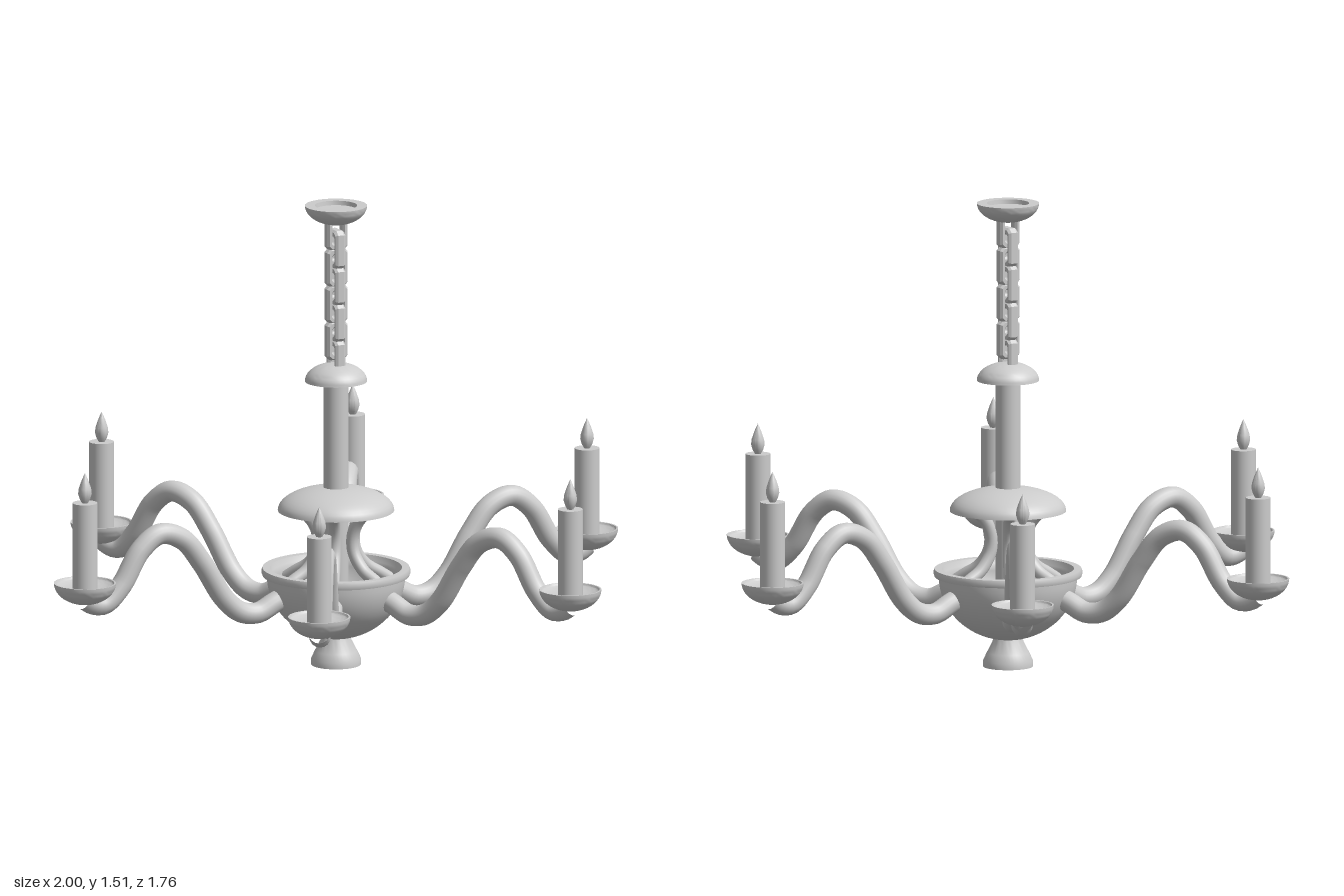
import * as THREE from 'three';
import { toCreasedNormals } from 'three/addons/utils/BufferGeometryUtils.js';

const metal = new THREE.MeshStandardMaterial({ color: 0xcccccc });
metal.name = 'pale grey metal';

const ARMS = 6;

function part(name, geometry, parent) {
  const mesh = new THREE.Mesh(geometry, metal);
  mesh.name = name;
  parent.add(mesh);
  return mesh;
}

// Turned part from [radius, height] pairs, kept sharp at its corners
function turned(points, segments = 40) {
  const profile = points.map(([r, y]) => new THREE.Vector2(r, y));
  return toCreasedNormals(new THREE.LatheGeometry(profile, segments), 0.7);
}

// Quarter ellipse of [radius, height] pairs between two angles
function arc(radius, height, y, from, to, steps = 12) {
  return Array.from({ length: steps + 1 }, (_, i) => {
    const a = from + (to - from) * i / steps;
    return [Math.max(0, radius * Math.cos(a)), y + height * Math.sin(a)];
  });
}

const Q = Math.PI / 2;

// Cup opening upwards with a shallower hollow, rim at height y
const cup = (r, h, y, innerR, innerH) => turned([
  ...arc(r, h, y, -Q, 0), ...arc(innerR, innerH, y, 0, -Q)]);

// Hollow dome opening downwards, rim at height y
const dome = (r, h, y, wall) => turned([
  ...arc(r - wall, h - wall, y, Q, 0), ...arc(r, h, y, 0, Q)]);

// Smooth round bar through [radius, height] pairs in the x-y plane
function bar(points, radius, segments, sides) {
  const curve = new THREE.CatmullRomCurve3(points.map(([x, y]) => new THREE.Vector3(x, y, 0)));
  return new THREE.TubeGeometry(curve, segments, radius, sides);
}

// Oblong outline with cut corners
function oblong(PathType, w, h, cut) {
  return new PathType([[w, cut - h], [w, h - cut], [w - cut, h], [cut - w, h],
    [-w, h - cut], [-w, cut - h], [cut - w, -h], [w - cut, -h]]
    .map(([x, y]) => new THREE.Vector2(x, y)));
}

// Chunky chain link with an open middle
function chainLink() {
  const outline = oblong(THREE.Shape, 0.037, 0.063, 0.013);
  outline.holes.push(oblong(THREE.Path, 0.018, 0.042, 0.006));
  return new THREE.ExtrudeGeometry(outline, {
    depth: 0.02, bevelEnabled: true, bevelThickness: 0.008, bevelSize: 0.006,
    bevelOffset: -0.006, bevelSegments: 1,
  }).translate(0, 0, -0.01);
}

export function createModel() {
  const model = new THREE.Group();
  model.name = 'chandelier';

  // Central body
  part('finial', turned([[0, 0], [0.08, 0], [0.08, 0.02], [0.068, 0.045],
    [0.05, 0.08], [0.042, 0.11], [0, 0.11]]), model);
  part('bowl', turned([...arc(0.222, 0.205, 0.292, -Q, 0, 18),
    [0.236, 0.294], [0.24, 0.306], [0.236, 0.318], [0.212, 0.318], [0.205, 0.3],
    ...arc(0.2, 0.175, 0.292, 0, -Q, 18)], 48), model);
  part('lowerDome', dome(0.187, 0.078, 0.506, 0.016), model);
  const stem = part('stem', new THREE.CylinderGeometry(0.04, 0.04, 0.85, 32), model);
  stem.position.y = 0.535;
  part('stemCap', dome(0.1, 0.06, 0.93, 0.012), model);

  // Curved ribs between bowl and dome
  const ribShape = bar([[0.19, 0.265], [0.155, 0.288], [0.105, 0.32], [0.07, 0.37],
    [0.063, 0.415], [0.075, 0.46], [0.105, 0.5], [0.145, 0.525]], 0.02, 32, 12);

  // Arms with dishes, candles and flames
  const armShape = bar([[0.195, 0.235], [0.225, 0.222], [0.28, 0.197], [0.34, 0.205],
    [0.4, 0.255], [0.48, 0.38], [0.55, 0.465], [0.63, 0.491], [0.7, 0.445],
    [0.77, 0.335], [0.83, 0.281], [0.87, 0.284], [0.9, 0.302]], 0.034, 72, 16);
  const dishShape = cup(0.1, 0.07, 0.357, 0.094, 0.022);
  const candleShape = new THREE.CylinderGeometry(0.04, 0.04, 0.3, 28);
  const flameShape = turned([[0, 0.615], [0.009, 0.618], [0.017, 0.633], [0.022, 0.65],
    [0.02, 0.667], [0.013, 0.688], [0.006, 0.705], [0, 0.718]], 16);

  for (let i = 0; i < ARMS; i++) {
    const branch = new THREE.Group();
    branch.name = 'branch' + (i + 1);
    branch.rotation.y = i * Math.PI * 2 / ARMS;
    part('rib', ribShape, branch);
    part('arm', armShape, branch);
    part('dish', dishShape, branch).position.x = 0.9;
    part('candle', candleShape, branch).position.set(0.9, 0.47, 0);
    part('flame', flameShape, branch).position.x = 0.9;
    model.add(branch);
  }

  // Chain of links turned alternately, and the ceiling cup
  const linkShape = chainLink();
  for (let i = 0; i < 8; i++) {
    const link = part('chainLink', linkShape, model);
    link.position.y = 1.005 + i * 0.06;
    link.rotation.y = i % 2 ? 0 : Q;
  }
  part('ceilingCup', turned([...arc(0.1, 0.062, 1.507, -Q, 0),
    [0.068, 1.507], [0.066, 1.493], [0, 1.491]]), model);

  return model;
}
